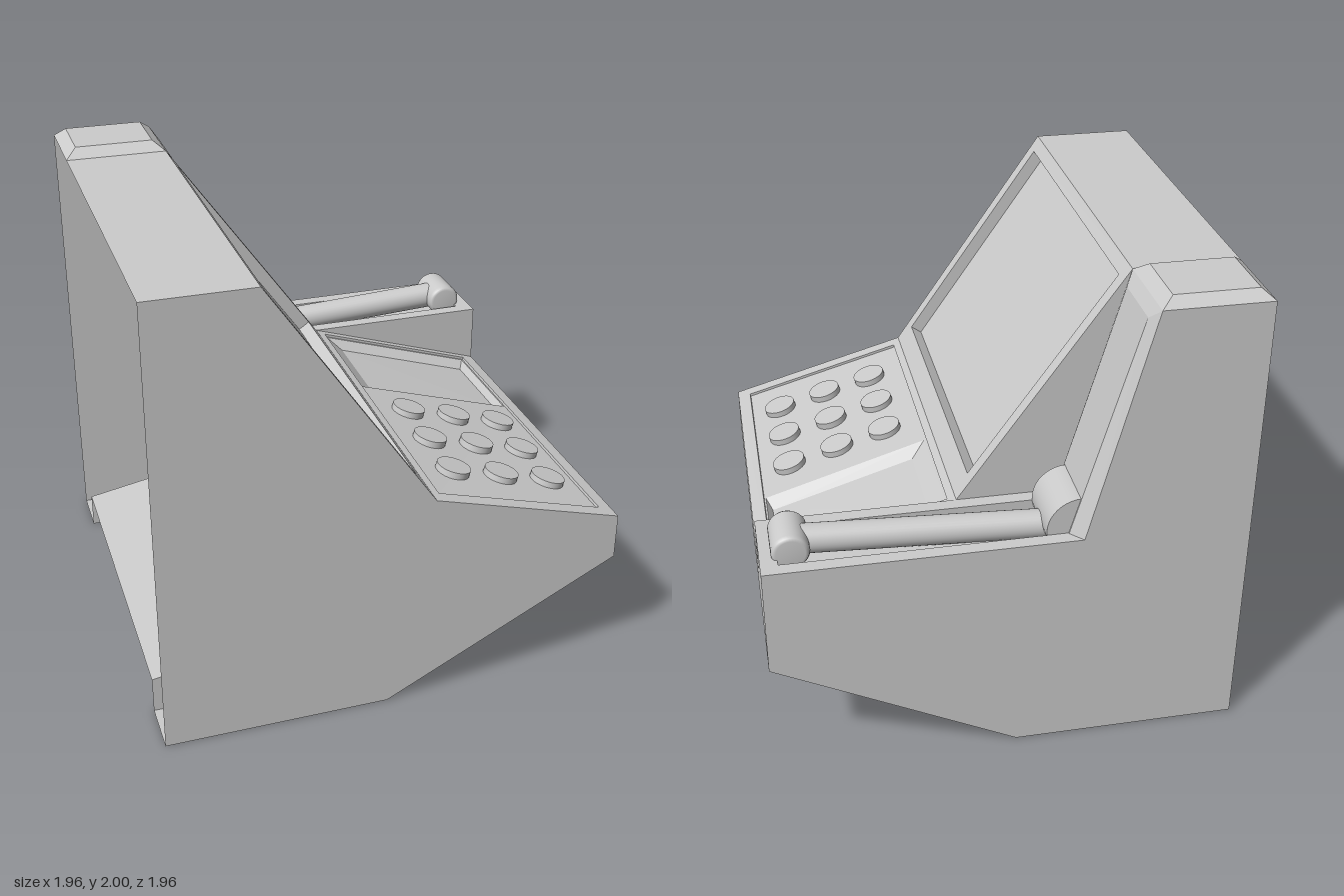
import * as THREE from 'three';

const W = 0.98, Z1 = -0.6; // half width, line between console and arm bay

export function createModel() {
  const model = new THREE.Group();
  const shellMat = new THREE.MeshStandardMaterial({ color: 0xcccccc, side: THREE.DoubleSide, flatShading: true });
  const roundMat = new THREE.MeshStandardMaterial({ color: 0xcccccc });
  const V = (x, y, z) => new THREE.Vector3(x, y, z);

  const add = (name, geo, mat = shellMat) => {
    const m = new THREE.Mesh(geo, mat);
    m.name = name;
    model.add(m);
    return m;
  };
  // Flat faces from loops of four corners, listed anticlockwise from outside
  const quads = (name, list) => {
    const pts = list.flatMap(([a, b, c, d]) => [a, b, c, a, c, d]);
    const g = new THREE.BufferGeometry().setFromPoints(pts);
    g.computeVertexNormals();
    return add(name, g);
  };
  const ring = (A, B) => A.map((p, i) => [p, A[(i + 1) % 4], B[(i + 1) % 4], B[i]]);
  const at = ([a, b, c, d], u, v) => a.clone().lerp(b, u).lerp(d.clone().lerp(c, u), v);
  const sub = (L, u0, u1, v0, v1) => [at(L, u0, v0), at(L, u1, v0), at(L, u1, v1), at(L, u0, v1)];
  const sink = (L, depth) => {
    const n = L[1].clone().sub(L[0]).cross(L[3].clone().sub(L[0])).normalize().multiplyScalar(-depth);
    return L.map(p => p.clone().add(n));
  };
  // Flat outline standing at a given z
  const side = (name, z, pts) => {
    const g = new THREE.ShapeGeometry(new THREE.Shape(pts.map(p => new THREE.Vector2(...p))));
    add(name, g.translate(0, 0, z));
  };

  // Side walls
  const foot = [[-W, 0], [-0.03, 0], [W, 0.52]];
  side('consoleSide', W, [...foot, [W, 0.72], [0.16, 0.95], [-0.54, 1.96], [-W, 1.96]]);
  side('armBaySide', -W, [...foot, [W, 0.985], [-0.29, 0.985], [-0.54, 1.96], [-W, 1.96]]);
  side('consoleInnerSide', Z1, [[-0.54, 1.96], [-0.29, 0.985], [0.155, 0.985]]);
  side('armRestInnerSide', Z1, [[0.155, 0.985], [W, 0.72], [W, 0.985]]);

  // Feet: inner walls and undersides
  for (const s of [-1, 1]) {
    side('footInnerWall', s * 0.75, [...foot, [-W, 0.16]]);
    const lo = s > 0 ? 0.75 : -W, hi = s > 0 ? W : -0.75;
    quads('footUnderside', [
      [V(-W, 0, lo), V(-0.03, 0, lo), V(-0.03, 0, hi), V(-W, 0, hi)],
      [V(-0.03, 0, lo), V(W, 0.52, lo), V(W, 0.52, hi), V(-0.03, 0, hi)],
    ]);
  }
  quads('floor', [[V(-W, 0.16, -0.75), V(W, 0.52, -0.75), V(W, 0.52, 0.75), V(-W, 0.16, 0.75)]]);

  // Front edge and roof
  quads('frontEdge', [
    [V(W, 0.52, W), V(W, 0.52, Z1), V(W, 0.72, Z1), V(W, 0.72, W)],
    [V(W, 0.52, Z1), V(W, 0.52, -W), V(W, 0.985, -W), V(W, 0.985, Z1)],
  ]);
  quads('roof', [[V(-W, 1.96, W), V(-0.54, 1.96, W), V(-0.54, 1.96, Z1), V(-W, 1.96, Z1)]]);

  // Sunken screen in its sloping frame
  const frame = [V(0.16, 0.95, W), V(0.155, 0.985, Z1), V(-0.54, 1.96, Z1), V(-0.54, 1.96, W)];
  const opening = sub(frame, 0.044, 0.959, 0.085, 0.95);
  const glass = sink(opening, 0.057);
  quads('screenFrame', [...ring(frame, opening), ...ring(opening, glass)]);
  quads('screen', [glass]);

  // Control panel with a shallow tray and a bevelled pad
  const panel = [V(W, 0.72, W), V(W, 0.72, Z1), V(0.155, 0.985, Z1), V(0.16, 0.95, W)];
  const rim = sub(panel, 0.04, 0.98, 0.07, 0.96);
  const tray = sink(rim, 0.012);
  const padRim = sub(tray, 0.645, 0.995, 0.01, 0.985);
  const pad = sink(sub(tray, 0.685, 0.965, 0.03, 0.885), 0.035);
  quads('controlPanel', [...ring(panel, rim), ...ring(rim, tray), ...ring(tray, padRim)]);
  quads('pad', [...ring(padRim, pad), pad]);

  // Three by three buttons
  const tilt = Math.atan2(0.23, 0.82);
  for (const x of [0.345, 0.565, 0.785]) for (const z of [0.16, 0.425, 0.69]) {
    const p = at(tray, (0.917 - z) / 1.485, (0.922 - x) / 0.73);
    const b = add('button', new THREE.CylinderGeometry(0.074, 0.074, 0.05, 32),
      new THREE.MeshStandardMaterial({ color: 0xcccccc }));
    b.position.set(x, p.y, z);
    b.rotation.z = -tilt;
  }

  // Tower behind the arm: bevelled top and bevelled front
  const topBase = [V(-W, 1.96, Z1), V(-0.54, 1.96, Z1), V(-0.54, 1.96, -W), V(-W, 1.96, -W)];
  const top = [V(-0.93, 2, -0.65), V(-0.59, 2, -0.65), V(-0.59, 2, -0.935), V(-0.93, 2, -0.935)];
  quads('towerTop', [...ring(topBase, top), top]);
  const faceBase = [V(-0.29, 0.985, Z1), V(-0.29, 0.985, -W), V(-0.54, 1.96, -W), V(-0.54, 1.96, Z1)];
  const face = [V(-0.24, 0.985, -0.65), V(-0.24, 0.985, -0.925), V(-0.505, 1.91, -0.925), V(-0.505, 1.91, -0.65)];
  quads('towerFront', [...ring(faceBase, face).slice(1), face]);

  // Arm rest with its trench
  const rest = [V(-0.29, 0.985, Z1), V(W, 0.985, Z1), V(W, 0.985, -W), V(-0.29, 0.985, -W)];
  const slot = [V(-0.24, 0.985, -0.66), V(0.91, 0.985, -0.66), V(0.91, 0.985, -0.92), V(-0.24, 0.985, -0.92)];
  const bed = sink(slot, 0.06);
  quads('armRest', [...ring(rest, slot), ...ring(slot, bed), bed]);

  // Pivot, arm and rounded knob
  const pivot = add('armPivot', new THREE.CylinderGeometry(0.14, 0.14, 0.26, 40), roundMat);
  pivot.rotation.x = Math.PI / 2;
  pivot.position.set(-0.29, 1.0, -0.79);

  const from = V(-0.25, 0.952, -0.79), to = V(0.855, 1.01, -0.79);
  const arm = add('arm', new THREE.CylinderGeometry(0.06, 0.06, from.distanceTo(to), 32), roundMat);
  arm.position.copy(from).lerp(to, 0.5);
  arm.quaternion.setFromUnitVectors(V(0, 1, 0), to.clone().sub(from).normalize());

  const outline = [[0, -0.104], [0.058, -0.104], [0.07, -0.098], [0.077, -0.085],
    [0.077, 0.085], [0.07, 0.098], [0.058, 0.104], [0, 0.104]];
  const knob = add('armKnob', new THREE.LatheGeometry(outline.map(p => new THREE.Vector2(...p)), 36), roundMat);
  knob.rotation.x = Math.PI / 2;
  knob.position.set(0.857, 1.008, -0.788);

  return model;
}
